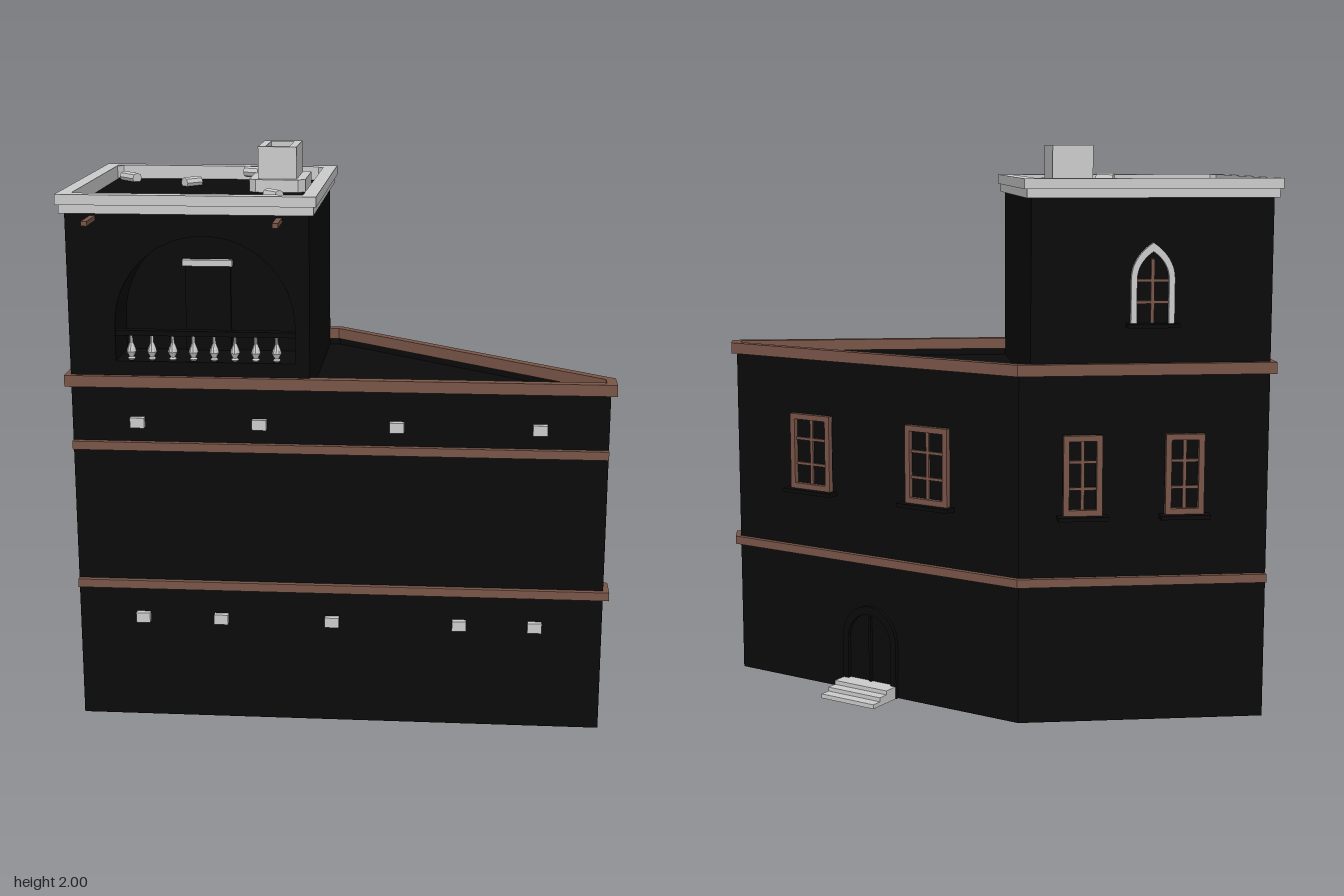
import * as THREE from 'three';

const mat = (color) => new THREE.MeshStandardMaterial({ color, side: THREE.DoubleSide, flatShading: true });
const DARK = mat(0x0a0a0a), BROWN = mat(0x795548), GREY = mat(0xcccccc);

// footprint corners as [x, z]; the plinth version has a deep bay cut in its left side
const FOOT = [[-0.92, 0.38], [0.935, 0.38], [0.935, 0.31], [-0.05, -0.46], [-0.92, -0.46]];
const BAY = [[-0.92, -0.34], [-0.74, -0.34], [-0.74, 0.21], [-0.92, 0.21]];
const DIAG = Math.atan2(0.616, -0.788);

function add(parent, name, geometry, material, x = 0, y = 0, z = 0) {
  const m = new THREE.Mesh(geometry, material);
  m.name = name;
  m.position.set(x, y, z);
  parent.add(m);
  return m;
}
const box = (p, name, material, w, h, d, x, y, z) => add(p, name, new THREE.BoxGeometry(w, h, d), material, x, y, z);
const toShape = (pts) => new THREE.Shape(pts.map(([x, z]) => new THREE.Vector2(x, -z)));

// upright prism over a plan shape
function slab(p, name, material, shape, y0, y1) {
  const g = new THREE.ExtrudeGeometry(shape, { depth: y1 - y0, bevelEnabled: false });
  return add(p, name, g.rotateX(-Math.PI / 2), material, 0, y0, 0);
}

// vertical wall following a closed plan outline
function wall(p, name, pts, y0, y1) {
  const v = [];
  pts.forEach(([ax, az], i) => {
    const [bx, bz] = pts[(i + 1) % pts.length];
    v.push(ax, y0, az, bx, y0, bz, bx, y1, bz, ax, y0, az, bx, y1, bz, ax, y1, az);
  });
  const g = new THREE.BufferGeometry();
  g.setAttribute('position', new THREE.Float32BufferAttribute(v, 3));
  g.computeVertexNormals();
  add(p, name, g, DARK);
}

// mitred offset of a plan path
function offset(pts, d, closed) {
  const n = pts.length;
  const normal = (i) => {
    const a = pts[(i + n) % n], b = pts[(i + 1 + n) % n];
    return new THREE.Vector2(a[1] - b[1], b[0] - a[0]).normalize();
  };
  return pts.map(([x, z], i) => {
    const n0 = normal(!closed && i === 0 ? 0 : i - 1);
    const n1 = normal(!closed && i === n - 1 ? i - 1 : i);
    const k = d / (1 + n0.dot(n1));
    return [x + (n0.x + n1.x) * k, z + (n0.y + n1.y) * k];
  });
}

// moulding running along a plan path
function band(p, name, material, pts, y0, y1, out, inn, closed) {
  const o = offset(pts, out, closed), i = offset(pts, -inn, closed);
  let shape;
  if (closed) {
    shape = toShape(o);
    shape.holes.push(toShape(i));
  } else shape = toShape([...o, ...i.reverse()]);
  slab(p, name, material, shape, y0, y1);
}

// group on a wall whose local +z points outward
function mount(p, name, x, y, z, angle) {
  const g = new THREE.Group();
  g.name = name;
  g.position.set(x, y, z);
  g.rotation.y = angle;
  p.add(g);
  return g;
}

function bars(g, w, h, rows, y0 = 0) {
  box(g, 'mullion', BROWN, 0.012, h, 0.01, 0, y0 + h / 2, 0.004);
  for (let r = 1; r < rows; r++) box(g, 'glazingBar', BROWN, w, 0.01, 0.01, 0, y0 + (h * r) / rows, 0.004);
}

function sashWindow(p, x, y, z, angle, w, h = 0.28, sill = DARK) {
  const g = mount(p, 'sashWindow', x, y, z, angle);
  box(g, 'pane', DARK, w, h, 0.004, 0, h / 2, 0);
  for (const s of [-1, 1]) {
    box(g, 'jamb', BROWN, 0.02, h, 0.03, s * (w / 2 - 0.01), h / 2, 0.005);
    box(g, 'rail', BROWN, w, 0.02, 0.03, 0, h / 2 + s * (h / 2 - 0.01), 0.005);
  }
  bars(g, w, h, 3);
  box(g, 'sill', sill, w + 0.04, 0.014, 0.05, 0, -0.007, 0.022);
}

// pointed or round arch outline standing on y = 0
function archShape(w, spring, top, pointed) {
  const s = new THREE.Shape(), r = w / 2;
  s.moveTo(-r, 0).lineTo(r, 0).lineTo(r, spring);
  if (pointed) {
    s.quadraticCurveTo(r, spring + (top - spring) * 0.6, 0, top);
    s.quadraticCurveTo(-r, spring + (top - spring) * 0.6, -r, spring);
  } else s.absellipse(0, spring, r, top - spring, 0, Math.PI, false);
  s.closePath();
  return s;
}
const extrude = (s, depth) => new THREE.ExtrudeGeometry(s, { depth, bevelEnabled: false, curveSegments: 12 });

function lancetWindow(p, x, y, z, angle) {
  const g = mount(p, 'lancetWindow', x, y, z, angle);
  const s = archShape(0.15, 0.15, 0.275, true);
  s.holes.push(archShape(0.11, 0.15, 0.245, true));
  add(g, 'surround', extrude(s, 0.018), GREY);
  bars(g, 0.11, 0.22, 3);
  box(g, 'sill', DARK, 0.18, 0.014, 0.05, 0, -0.005, 0.02);
}

export function createModel() {
  const root = new THREE.Group();
  root.name = 'house';

  // main body with the bay, upper storey slab and low parapet
  wall(root, 'lowerWalls', [...FOOT, ...BAY], 0, 1.08);
  slab(root, 'terrace', DARK, toShape(FOOT), 1.08, 1.2);
  wall(root, 'parapet', FOOT, 1.2, 1.23);
  band(root, 'lowerTrim', BROWN, FOOT, 0.49, 0.52, 0.02, 0.012, false);
  band(root, 'middleTrim', BROWN, FOOT.slice(0, 2), 1.0, 1.03, 0.02, 0.005, false);
  band(root, 'parapetTrim', BROWN, FOOT, 1.225, 1.265, 0.02, 0.015, true);

  // stone blocks on the front
  for (const x of [-0.69, -0.265, 0.21, 0.7]) box(root, 'stoneBlock', GREY, 0.05, 0.036, 0.03, x, 1.1, 0.387);
  for (const x of [-0.69, -0.41, -0.015, 0.435, 0.7]) box(root, 'stoneBlock', GREY, 0.05, 0.036, 0.03, x, 0.38, 0.387);

  // windows on the back and the slanted wall
  for (const x of [-0.27, -0.625]) sashWindow(root, x, 0.74, -0.462, Math.PI, 0.135);
  for (const z of [0.09, -0.23]) sashWindow(root, -0.05 + (z + 0.46) * 1.279, 0.74, z, DIAG, 0.18);

  // arched door with steps on the slanted wall
  const door = mount(root, 'sideDoor', 0.45, 0, -0.069, DIAG);
  const ring = archShape(0.24, 0.2, 0.33, false);
  ring.holes.push(archShape(0.19, 0.2, 0.3, false));
  add(door, 'doorSurround', extrude(ring, 0.015), DARK);
  box(door, 'doorPost', DARK, 0.01, 0.29, 0.012, 0, 0.145, 0.004);
  for (let i = 0; i < 3; i++) {
    const d = 0.15 - i * 0.04;
    box(door, 'step', GREY, 0.235, 0.016, d, 0, 0.008 + i * 0.015, d / 2);
  }

  // fittings inside the left bay
  sashWindow(root, -0.742, 0.63, 0.1, -Math.PI / 2, 0.13, 0.26, GREY);
  box(root, 'bayTrim', BROWN, 0.03, 0.03, 0.55, -0.748, 0.505, -0.065);
  box(root, 'bayLintel', GREY, 0.025, 0.025, 0.17, -0.75, 0.33, -0.09);
  box(root, 'bayDoor', DARK, 0.012, 0.32, 0.15, -0.745, 0.16, -0.09);

  // tower: solid back and a front with an arched balcony
  const tower = mount(root, 'tower', 0, 0, 0, 0);
  box(tower, 'towerBody', DARK, 0.83, 0.64, 0.64, -0.505, 1.52, -0.14);
  const front = new THREE.Shape();
  front.moveTo(-0.92, 1.2).lineTo(-0.09, 1.2).lineTo(-0.09, 1.84).lineTo(-0.92, 1.84).closePath();
  const hole = new THREE.Path();
  hole.moveTo(-0.76, 1.315).lineTo(-0.14, 1.315).lineTo(-0.14, 1.44);
  hole.absarc(-0.45, 1.44, 0.31, 0, Math.PI, false);
  front.holes.push(hole);
  add(tower, 'balconyFront', extrude(front, 0.2), DARK, 0, 0, 0.18);
  const profile = [[0.008, 0], [0.014, 0.006], [0.008, 0.012], [0.017, 0.03], [0.014, 0.042], [0.006, 0.062], [0.005, 0.09]];
  const baluster = new THREE.LatheGeometry(profile.map(([r, y]) => new THREE.Vector2(r, y)), 10);
  for (let i = 0; i < 8; i++) add(tower, 'baluster', baluster, GREY, -0.71 + i * 0.072, 1.315, 0.355);
  box(tower, 'handrail', DARK, 0.62, 0.018, 0.035, -0.45, 1.412, 0.355);
  box(tower, 'balconyDoor', DARK, 0.16, 0.31, 0.015, -0.465, 1.465, 0.185);
  box(tower, 'balconyLintel', GREY, 0.175, 0.022, 0.03, -0.465, 1.628, 0.19);
  for (const x of [-0.825, -0.19]) box(tower, 'roofBeam', BROWN, 0.02, 0.016, 0.15, x, 1.808, 0.435);
  lancetWindow(tower, -0.505, 1.4, -0.458, Math.PI);
  lancetWindow(tower, -0.918, 1.4, -0.2, -Math.PI / 2);

  // stepped cornice with clipped inner corners
  const plan = [[-0.92, 0.38], [-0.09, 0.38], [-0.09, -0.46], [-0.92, -0.46]];
  band(tower, 'corniceLower', GREY, plan, 1.825, 1.86, 0.016, 0.022, true);
  band(tower, 'corniceUpper', GREY, plan, 1.855, 1.89, 0.026, 0.022, true);
  for (const [x, z] of [[-0.898, 0.358], [-0.112, 0.358], [-0.112, -0.438], [-0.898, -0.438]]) {
    box(tower, 'cornerFillet', GREY, 0.028, 0.045, 0.028, x, 1.866, z).rotation.y = Math.PI / 4;
  }

  // chimney
  const rect = (w, d) => [[-w, d], [w, d], [w, -d], [-w, -d]].map(([x, z]) => [x - 0.25, z - 0.212]);
  const c = 0.025, base = [];
  for (const [sx, sz] of [[-1, 1], [1, 1], [1, -1], [-1, -1]]) {
    const a = [sx * (0.102 - c), sz * 0.138], b = [sx * 0.102, sz * (0.138 - c)];
    base.push(...(sx * sz < 0 ? [b, a] : [a, b]));
  }
  slab(tower, 'chimneyBase', GREY, toShape(base.map(([x, z]) => [x - 0.25, z - 0.212])), 1.84, 1.885);
  const flue = toShape(rect(0.07, 0.11));
  flue.holes.push(toShape(rect(0.043, 0.083)));
  slab(tower, 'chimneyStack', GREY, flue, 1.885, 2.0);

  // loose rubble on the roof
  const rubble = [[-0.84, -0.375, 1.852, 0.09, -0.8], [-0.585, -0.25, 1.852, 0.07, 0.8],
    [-0.365, -0.305, 1.885, 0.06, -0.4], [-0.245, 0.077, 1.852, 0.07, -0.8], [-0.45, 0.23, 1.852, 0.06, 0.9]];
  for (const [x, z, y, length, turn] of rubble) {
    const g = new THREE.CylinderGeometry(0.02, 0.02, length, 8).rotateZ(Math.PI / 2);
    add(tower, 'rubble', g, GREY, x, y, z).rotation.y = turn;
  }
  return root;
}
